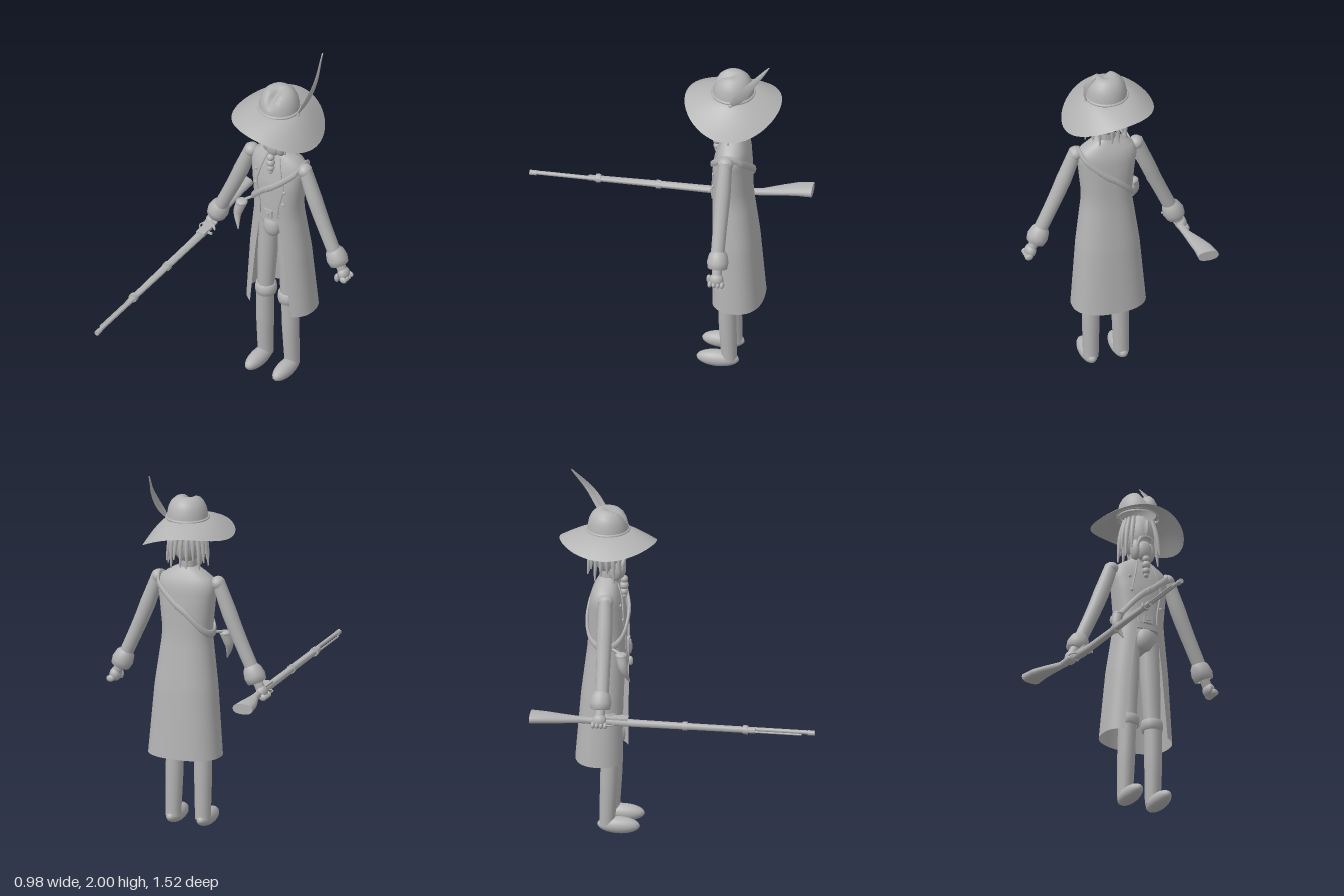
import * as THREE from 'three';

const V = (x, y, z) => new THREE.Vector3(x, y, z);
const CX = 0.025; // body centre line

export function createModel() {
  const root = new THREE.Group();
  const grey = new THREE.MeshStandardMaterial({ color: 0xb3b3b3, side: THREE.DoubleSide });
  grey.name = 'plainGrey';

  const add = (name, geo, p = [0, 0, 0], r = [0, 0, 0], s = [1, 1, 1]) => {
    const m = new THREE.Mesh(geo, grey);
    m.name = name;
    m.position.set(...p); m.rotation.set(...r); m.scale.set(...s);
    root.add(m);
    return m;
  };
  const ball = (name, p, s) => add(name, new THREE.SphereGeometry(1, 20, 14), p, [0, 0, 0], s);

  // Surface through a list of equal-length rings
  const loft = (rings, closed = true, caps = false) => {
    const n = rings[0].length, pos = [], idx = [];
    rings.forEach(r => r.forEach(v => pos.push(v.x, v.y, v.z)));
    for (let i = 0; i < rings.length - 1; i++)
      for (let j = 0; j < (closed ? n : n - 1); j++) {
        const a = i * n + j, b = i * n + (j + 1) % n;
        idx.push(a, a + n, b, b, a + n, b + n);
      }
    if (caps) [0, rings.length - 1].forEach(k => {
      const base = pos.length / 3;
      rings[k].forEach(v => pos.push(v.x, v.y, v.z));
      for (let j = 1; j < n - 1; j++)
        k ? idx.push(base, base + j + 1, base + j) : idx.push(base, base + j, base + j + 1);
    });
    const g = new THREE.BufferGeometry();
    g.setAttribute('position', new THREE.Float32BufferAttribute(pos, 3));
    g.setIndex(idx);
    g.computeVertexNormals();
    return g;
  };

  // Round tube whose radius follows a list of values
  const taper = (pts, radii, seg = 12, sides = 14) => {
    const c = new THREE.CatmullRomCurve3(pts), f = c.computeFrenetFrames(seg), rings = [];
    for (let i = 0; i <= seg; i++) {
      const t = i / seg * (radii.length - 1), k = Math.min(Math.floor(t), radii.length - 2);
      const r = THREE.MathUtils.lerp(radii[k], radii[k + 1], t - k), p = c.getPointAt(i / seg);
      rings.push(Array.from({ length: sides }, (_, j) => {
        const a = j / sides * Math.PI * 2;
        return p.clone().addScaledVector(f.normals[i], r * Math.cos(a)).addScaledVector(f.binormals[i], r * Math.sin(a));
      }));
    }
    return loft(rings, true, true);
  };

  // Coat profile: height, half width, half depth, centre z, half opening
  const profile = [
    [0.42, 0.202, 0.142, -0.441, 0.13], [0.8, 0.172, 0.125, -0.427, 0.09],
    [1.06, 0.138, 0.108, -0.412, 0.055], [1.12, 0.137, 0.106, -0.41, 0.055],
    [1.26, 0.152, 0.102, -0.41, 0.085], [1.36, 0.165, 0.088, -0.415, 0.06],
    [1.41, 0.14, 0.07, -0.415, 0.045], [1.44, 0.085, 0.055, -0.412, 0.035], [1.46, 0.05, 0.046, -0.41, 0.025]];
  const section = y => {
    let i = 0;
    while (i < profile.length - 2 && y > profile[i + 1][0]) i++;
    const t = THREE.MathUtils.clamp((y - profile[i][0]) / (profile[i + 1][0] - profile[i][0]), 0, 1);
    return profile[i].map((v, k) => THREE.MathUtils.lerp(v, profile[i + 1][k], t));
  };
  const pw = v => Math.sign(v) * Math.abs(v) ** 0.85;
  const around = (y, a, grow = 0) => { // a = 0 faces front
    const [, w, d, cz] = section(y);
    return V(CX + (w + grow) * pw(Math.sin(a)), y, cz + (d + grow) * pw(Math.cos(a)));
  };

  // Coat, open along the front
  const coat = [], vest = [];
  for (let i = 0; i <= 36; i++) {
    const y = 0.42 + i / 36 * 1.04, [, w, , , gap] = section(y);
    const g = Math.asin(Math.min(0.95, (gap / w) ** (1 / 0.85)));
    coat.push(Array.from({ length: 49 }, (_, j) => around(y, g + j / 48 * (Math.PI * 2 - 2 * g))));
    if (y > 1.02) vest.push(Array.from({ length: 40 }, (_, j) => around(y, j / 40 * Math.PI * 2, -0.008)));
  }
  add('coat', loft(coat, false));
  add('vest', loft(vest, true, true));
  for (const s of [-1, 1]) {
    const edge = [];
    for (let i = 0; i <= 10; i++) {
      const y = 1.43 - i * 0.037, [, w, , , gap] = section(y);
      edge.push(around(y, s * Math.asin((gap / w) ** (1 / 0.85)), 0.002));
    }
    add('lapelEdge', new THREE.TubeGeometry(new THREE.CatmullRomCurve3(edge), 20, 0.005, 6));
    for (const y of [1.325, 1.24, 1.16]) {
      const p = around(y, s * 0.56, 0.003);
      ball('button', [p.x, p.y, p.z], [0.01, 0.01, 0.006]);
    }
  }

  // Shoulder strap round the body
  const strap = [];
  for (let i = 0; i <= 64; i++) {
    const a = i / 64 * Math.PI * 2, y = 1.245 + 0.15 * Math.sin(a), p = around(y, a, 0.008);
    const out = V(Math.sin(a), 0, Math.cos(a));
    strap.push(Array.from({ length: 8 }, (_, j) => {
      const b = j / 8 * Math.PI * 2;
      return p.clone().addScaledVector(out, 0.009 * Math.cos(b)).add(V(0, 0.022 * Math.sin(b), 0));
    }));
  }
  add('shoulderStrap', loft(strap));

  // Belt, buckle and breeches
  add('belt', new THREE.CylinderGeometry(0.125, 0.125, 0.04, 32), [CX, 1.075, -0.41], [0, 0, 0], [1, 1, 0.83]);
  add('buckle', new THREE.BoxGeometry(0.05, 0.045, 0.012), [CX, 1.078, -0.302]);
  add('bucklePin', new THREE.BoxGeometry(0.022, 0.02, 0.012), [CX, 1.078, -0.295]);
  ball('hips', [CX, 1.0, -0.405], [0.105, 0.1, 0.085]);
  ball('breechesFront', [CX, 0.975, -0.345], [0.052, 0.07, 0.045]);

  for (const s of [-1, 1]) {
    const x = v => CX + s * v;
    // Legs and boots
    add('thigh', taper([V(x(0.055), 1.02, -0.4), V(x(0.065), 0.75, -0.395), V(x(0.075), 0.48, -0.39)], [0.055, 0.053, 0.045]));
    add('boot', taper([V(x(0.078), 0.53, -0.39), V(x(0.082), 0.3, -0.395), V(x(0.085), 0.05, -0.405)], [0.048, 0.048, 0.042]));
    add('bootCuff', new THREE.LatheGeometry([[0.045, -0.03], [0.056, -0.028], [0.06, 0], [0.056, 0.027], [0.045, 0.032]]
      .map(p => new THREE.Vector2(...p)), 24), [x(0.072), 0.5, -0.39]);
    ball('foot', [x(0.087), 0.048, -0.343], [0.046, 0.046, 0.115]);
    // Arms
    add('sleeve', taper([V(x(0.17), 1.385, -0.4), V(x(0.26), 1.15, -0.395), V(x(0.375), 0.89, -0.39)], [0.036, 0.042, 0.038, 0.036]));
    ball('shoulder', [x(0.17), 1.375, -0.4], [0.038, 0.038, 0.042]);
    add('sleeveCuff', new THREE.LatheGeometry([[0.035, -0.048], [0.052, -0.044], [0.058, -0.01], [0.05, 0.03], [0.036, 0.05]]
      .map(p => new THREE.Vector2(...p)), 24), [x(0.375), 0.89, -0.395], [0, 0, s * 0.4]);
    add('wrist', taper([V(x(0.385), 0.87, -0.395), V(x(0.418), 0.8, -0.395)], [0.027, 0.026], 3));
    ball('palm', [x(0.42), 0.795, -0.395], [0.032, 0.038, 0.038]);
    for (let i = 0; i < 4; i++)
      ball('finger', [x(0.438), 0.775, -0.428 + i * 0.022], [0.022, 0.018, 0.012]);
    ball('thumb', [x(0.405), 0.785, -0.352], [0.014, 0.026, 0.014]);
    // Beard sides and moustache
    ball('beardSide', [x(0.042), 1.505, -0.365], [0.028, 0.062, 0.035]);
    add('moustache', taper([V(CX, 1.57, -0.318), V(x(0.03), 1.56, -0.325), V(x(0.05), 1.51, -0.33)], [0.008, 0.011, 0.003], 8, 8));
  }

  // Head, neck and beard braid
  add('neck', new THREE.CylinderGeometry(0.045, 0.05, 0.14, 20), [CX, 1.47, -0.41]);
  ball('head', [CX, 1.6, -0.41], [0.082, 0.125, 0.09]);
  ball('nose', [CX, 1.62, -0.32], [0.012, 0.05, 0.02]);
  ball('chinBeard', [CX, 1.5, -0.35], [0.045, 0.06, 0.035]);
  [[1.44, 0.021], [1.405, 0.024], [1.37, 0.021], [1.345, 0.014]].forEach(([y, r]) => ball('beardBraid', [CX, y, -0.325], [r, r, r]));

  // Hanging locks round the sides and back
  for (let i = 0; i < 15; i++) {
    const a = 0.85 + i / 14 * (Math.PI * 2 - 1.7), low = 1.485 + 0.03 * Math.sin(i * 2.3);
    const at = (r, y) => V(CX + r * Math.sin(a), y, -0.41 + r * Math.cos(a));
    add('hairLock', taper([at(0.075, 1.69), at(0.098, 1.6), at(0.108 + 0.008 * Math.cos(i * 3), low)], [0.012, 0.014, 0.011, 0.004], 8, 8));
  }

  // Hat: wavy brim, creased crown and band
  const brim = [];
  for (let i = 0; i <= 8; i++) {
    const t = i / 8;
    brim.push(Array.from({ length: 48 }, (_, j) => {
      const a = j / 48 * Math.PI * 2, edge = 1.637 - 0.0425 * Math.cos(a) - 0.036 * Math.cos(2 * a);
      return V(0.018 + (0.1 + 0.145 * t) * Math.cos(a), 1.728 + (edge - 1.728) * t ** 1.5, -0.41 + (0.1 + 0.16 * t) * Math.sin(a));
    }));
  }
  add('hatBrim', loft(brim));
  const crown = new THREE.LatheGeometry([[0.112, 1.712], [0.109, 1.75], [0.102, 1.785], [0.088, 1.815], [0.068, 1.835],
    [0.045, 1.846], [0.02, 1.85], [0, 1.85]].map(p => new THREE.Vector2(...p)), 48);
  const cp = crown.attributes.position;
  for (let i = 0; i < cp.count; i++) {
    const x = cp.getX(i), z = cp.getZ(i), y = cp.getY(i);
    const dent = 0.04 * Math.exp(-((x / 0.024) ** 2)) * THREE.MathUtils.smoothstep(z, -0.04, 0.04);
    cp.setY(i, y - dent * THREE.MathUtils.smoothstep(y, 1.74, 1.82));
  }
  crown.computeVertexNormals();
  add('hatCrown', crown, [CX, 0, -0.412]);
  add('hatBand', new THREE.TorusGeometry(0.111, 0.008, 8, 40), [CX, 1.728, -0.412], [Math.PI / 2, 0, 0]);

  // Feather: curved leaf with a quill
  const spine = new THREE.CatmullRomCurve3([V(0.135, 1.71, -0.415), V(0.165, 1.79, -0.47), V(0.178, 1.88, -0.53), V(0.155, 2.0, -0.628)]);
  const leaf = [];
  for (let i = 0; i <= 20; i++) {
    const t = i / 20, p = spine.getPoint(t), w = 0.003 + 0.026 * Math.sin(Math.PI * t ** 0.8) ** 0.8 * (1 - t * 0.2) * (i < 20);
    leaf.push([-1, 0, 1].map(k => p.clone().add(V(0.006 * (1 - k * k), k * w * 0.5, k * w * 0.85))));
  }
  add('feather', loft(leaf, false));
  add('featherQuill', new THREE.TubeGeometry(spine, 20, 0.003, 6));
  ball('featherKnot', [0.138, 1.715, -0.415], [0.012, 0.012, 0.012]);

  // Powder horn at the hip
  add('powderHorn', taper([V(-0.153, 1.07, -0.315), V(-0.168, 1.0, -0.3), V(-0.145, 0.92, -0.27)], [0.03, 0.026, 0.015, 0.003]));
  ball('hornCap', [-0.152, 1.072, -0.315], [0.032, 0.016, 0.032]);
  add('hornHanger', taper([V(-0.15, 1.08, -0.32), V(-0.115, 1.09, -0.37)], [0.008, 0.008], 3, 8));

  // Musket: stock with butt to the rear, then barrel and fittings
  const stock = [[-0.76, -0.433, 0.812, 0.057, 0.029], [-0.68, -0.428, 0.81, 0.05, 0.026], [-0.6, -0.415, 0.803, 0.04, 0.021],
    [-0.5, -0.395, 0.794, 0.021, 0.018], [-0.4, -0.385, 0.788, 0.018, 0.018], [-0.3, -0.38, 0.787, 0.024, 0.02],
    [-0.2, -0.379, 0.785, 0.02, 0.019], [0.1, -0.378, 0.785, 0.018, 0.017], [0.44, -0.376, 0.783, 0.015, 0.015]];
  add('musketStock', loft(stock.map(([z, x, y, w, h]) => Array.from({ length: 16 }, (_, j) => {
    const a = j / 16 * Math.PI * 2;
    return V(x + w * pw(Math.cos(a)), y + h * pw(Math.sin(a)), z);
  })), true, true));
  const rod = (name, r, z0, z1, x, y) =>
    add(name, new THREE.CylinderGeometry(r, r, z1 - z0, 14), [x, y, (z0 + z1) / 2], [Math.PI / 2, 0, 0]);
  rod('barrel', 0.011, -0.34, 0.757, -0.366, 0.787);
  rod('muzzleRing', 0.014, 0.72, 0.757, -0.366, 0.785);
  rod('ramrod', 0.005, 0.4, 0.69, -0.387, 0.78);
  rod('barrelBand', 0.024, 0.05, 0.075, -0.377, 0.785);
  rod('barrelBand', 0.024, 0.375, 0.4, -0.376, 0.785);
  add('lockPlate', new THREE.BoxGeometry(0.05, 0.012, 0.13), [-0.372, 0.807, -0.31]);
  add('hammer', taper([V(-0.37, 0.81, -0.35), V(-0.345, 0.812, -0.335), V(-0.325, 0.805, -0.315)], [0.008, 0.008, 0.004], 6, 8));
  add('frizzen', new THREE.BoxGeometry(0.045, 0.01, 0.01), [-0.345, 0.8, -0.285]);
  add('triggerGuard', new THREE.TorusGeometry(0.03, 0.004, 6, 16, Math.PI), [-0.402, 0.785, -0.34], [Math.PI / 2, 0, Math.PI / 2]);
  return root;
}
